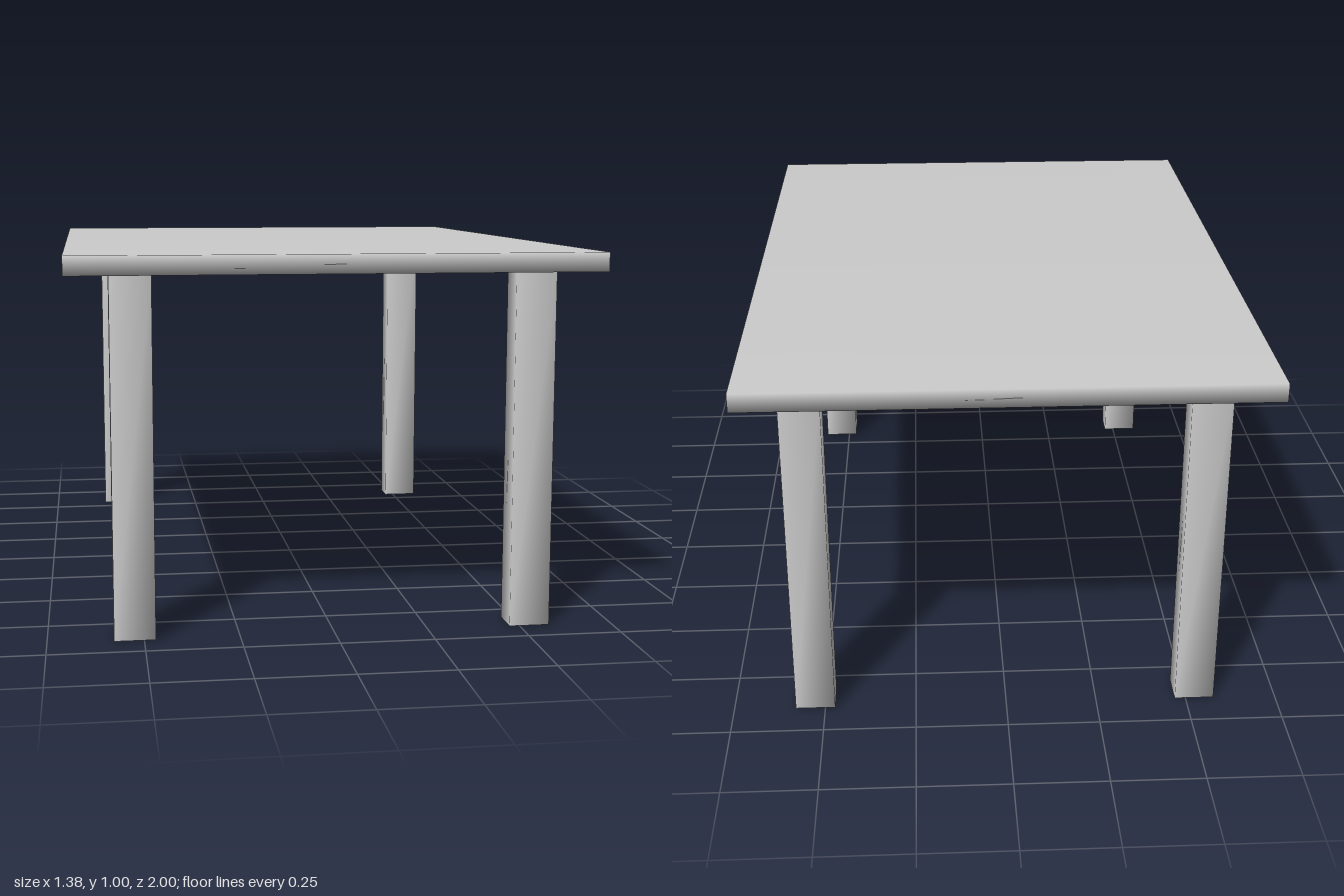
import * as THREE from 'three';
import { mergeVertices } from 'three/addons/utils/BufferGeometryUtils.js';

// Box with shared corners, so shading runs softly over its edges
function softBox(w, h, d) {
  const box = new THREE.BoxGeometry(w, h, d);
  box.deleteAttribute('normal');
  box.deleteAttribute('uv');
  const geometry = mergeVertices(box);
  geometry.computeVertexNormals();
  return geometry;
}

export function createModel() {
  const group = new THREE.Group();
  group.name = 'table';
  const material = new THREE.MeshStandardMaterial({ color: 0xcccccc });

  const add = (name, geometry, x, y, z) => {
    const mesh = new THREE.Mesh(geometry, material);
    mesh.name = name;
    mesh.position.set(x, y, z);
    group.add(mesh);
  };

  // Thin slab top
  const height = 1, thickness = 0.05;
  add('tabletop', softBox(1.38, thickness, 2), 0, height - thickness / 2, 0);

  // Four legs, set slightly off centre under the top
  const legHeight = height - thickness;
  const leg = softBox(0.108, legHeight, 0.086);
  for (const [end, z] of [['front', 0.866], ['back', -0.857]]) {
    for (const [side, x] of [['Left', 0.527], ['Right', -0.524]]) {
      add(`${end}${side}Leg`, leg, x, legHeight / 2, z);
    }
  }
  return group;
}
